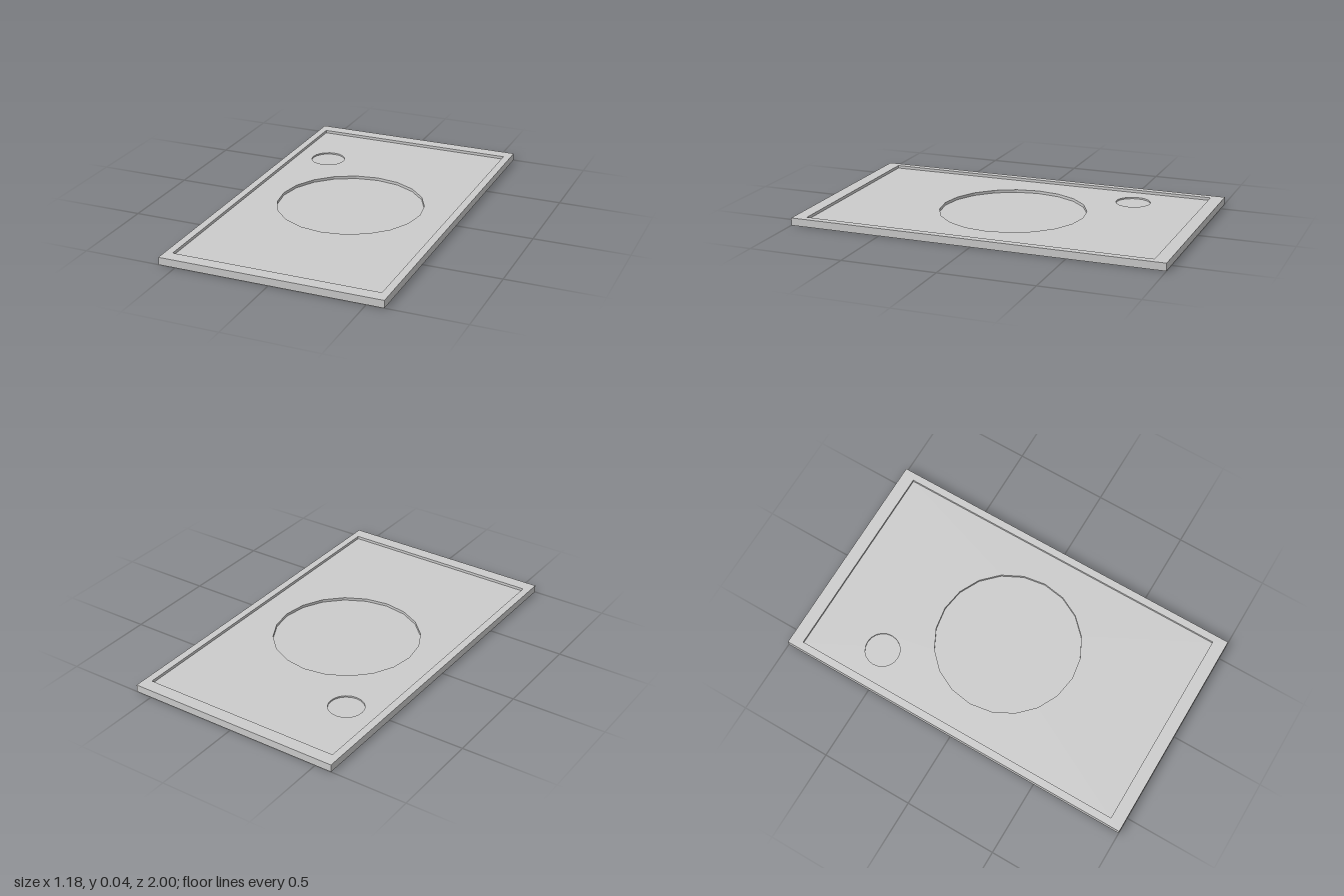
import * as THREE from 'three';

const W = 1.18, L = 2;              // outer size
const IW = 1.1, IL = 1.86;          // recessed panel size
const TOP = 0.04, PANEL = 0.025, FLOOR = 0.01, SMALL_FLOOR = 0.017;
const BIG = { x: 0, z: 0, r: 0.39 };
const SMALL = { x: -0.37, z: -0.55, r: 0.093 };

const material = new THREE.MeshStandardMaterial({ color: 0xcccccc, flatShading: true });

function rect(w, l, Type = THREE.Shape) {
  const p = new Type();
  p.moveTo(-w / 2, -l / 2);
  p.lineTo(w / 2, -l / 2);
  p.lineTo(w / 2, l / 2);
  p.lineTo(-w / 2, l / 2);
  p.closePath();
  return p;
}

function circle({ x, z, r }, Type = THREE.Path) {
  const p = new Type();
  p.absarc(x, -z, r, 0, Math.PI * 2);
  return p;
}

// Horizontal slab from height y0 to y1; curveSegments 10 gives 20-sided circles
function slab(name, shape, holes, y0, y1) {
  shape.holes.push(...holes);
  const geo = new THREE.ExtrudeGeometry(shape, { depth: y1 - y0, bevelEnabled: false, curveSegments: 10 });
  geo.rotateX(-Math.PI / 2).translate(0, y0, 0);
  const mesh = new THREE.Mesh(geo, material);
  mesh.name = name;
  return mesh;
}

export function createModel() {
  const group = new THREE.Group();
  group.name = 'recessedPlate';
  group.add(
    // Raised border around the plate
    slab('rim', rect(W, L), [rect(IW, IL, THREE.Path)], 0, TOP),
    // Underside, also the floor of the large recess
    slab('base', rect(IW, IL), [], 0, FLOOR),
    // Sunken panel with its two round openings
    slab('panel', rect(IW, IL), [circle(BIG), circle(SMALL)], FLOOR, PANEL),
    // Shallower floor of the small recess
    slab('smallRecessFloor', circle(SMALL, THREE.Shape), [], FLOOR, SMALL_FLOOR),
  );
  return group;
}
